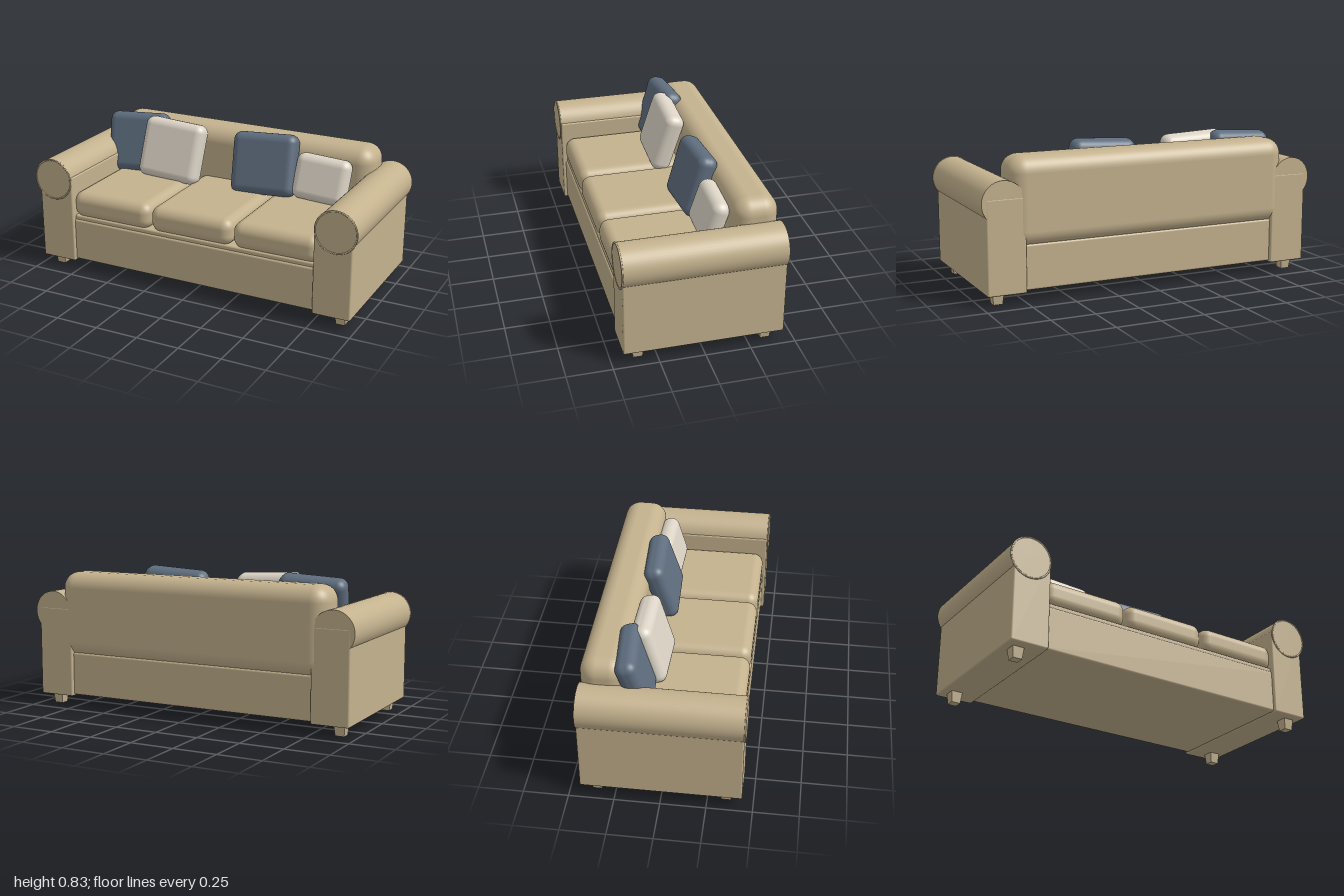
import * as THREE from 'three';
import { RoundedBoxGeometry } from 'three/addons/geometries/RoundedBoxGeometry.js';

export function createModel() {
  const model = new THREE.Group();
  model.name = 'sofa';

  const material = (name, color) => {
    const m = new THREE.MeshStandardMaterial({ color });
    m.name = name;
    return m;
  };
  const tan = material('tanFabric', 0xc4b28e);
  const blue = material('blueFabric', 0x5e6d7e);
  const cream = material('creamFabric', 0xdcd4c6);

  const add = (name, geometry, mat, x, y, z) => {
    const mesh = new THREE.Mesh(geometry, mat);
    mesh.name = name;
    mesh.position.set(x, y, z);
    model.add(mesh);
    return mesh;
  };
  const roundedBox = (name, mat, [w, h, d], r, x, y, z) =>
    add(name, new RoundedBoxGeometry(w, h, d, 6, r), mat, x, y, z);

  // Base and the slightly recessed deck under the cushions
  roundedBox('base', tan, [1.54, 0.25, 0.84], 0.012, 0, 0.195, 0);
  roundedBox('seatDeck', tan, [1.53, 0.06, 0.82], 0.01, 0, 0.315, 0);

  // Backrest
  roundedBox('backrest', tan, [1.67, 0.49, 0.25], 0.09, 0, 0.545, -0.32);

  // Seat cushions
  for (const i of [-1, 0, 1]) {
    roundedBox('seatCushion', tan, [0.51, 0.155, 0.66], 0.058, i * 0.517, 0.41, 0.09);
  }

  // Arms with rolled tops, front discs and piping, and tapered legs
  const rollGeometry = new THREE.CylinderGeometry(0.12, 0.12, 0.878, 48).rotateX(Math.PI / 2);
  const discGeometry = new THREE.CylinderGeometry(0.117, 0.117, 0.01, 48).rotateX(Math.PI / 2);
  const pipingGeometry = new THREE.TorusGeometry(0.118, 0.005, 8, 48);
  const legGeometry = new THREE.CylinderGeometry(0.047, 0.036, 0.07, 4, 1)
    .rotateY(Math.PI / 4).toNonIndexed();
  legGeometry.computeVertexNormals();
  for (const side of [-1, 1]) {
    roundedBox('armPanel', tan, [0.22, 0.52, 0.88], 0.01, side * 0.866, 0.322, 0);
    add('armRoll', rollGeometry, tan, side * 0.88, 0.557, 0);
    add('armFrontDisc', discGeometry, tan, side * 0.88, 0.557, 0.439);
    add('armPiping', pipingGeometry, tan, side * 0.88, 0.557, 0.442);
    for (const end of [-1, 1]) {
      add('leg', legGeometry, tan, side * 0.9, 0.035, end * 0.352);
    }
  }

  // Throw pillows leaning on the backrest: material, size, position, yaw, roll
  const pillows = [
    [blue, [0.385, 0.36, 0.12], [-0.655, 0.645, -0.163], 0.05, 0.06],
    [cream, [0.395, 0.36, 0.12], [-0.39, 0.645, -0.112], 0, -0.05],
    [blue, [0.395, 0.36, 0.12], [0.207, 0.645, -0.135], 0.02, 0.06],
    [cream, [0.33, 0.265, 0.105], [0.565, 0.61, -0.132], 0, -0.05],
  ];
  for (const [mat, size, position, yaw, roll] of pillows) {
    const pillow = roundedBox('throwPillow', mat, size, 0.05, ...position);
    pillow.rotation.set(-0.3, yaw, roll, 'YXZ');
  }

  return model;
}
